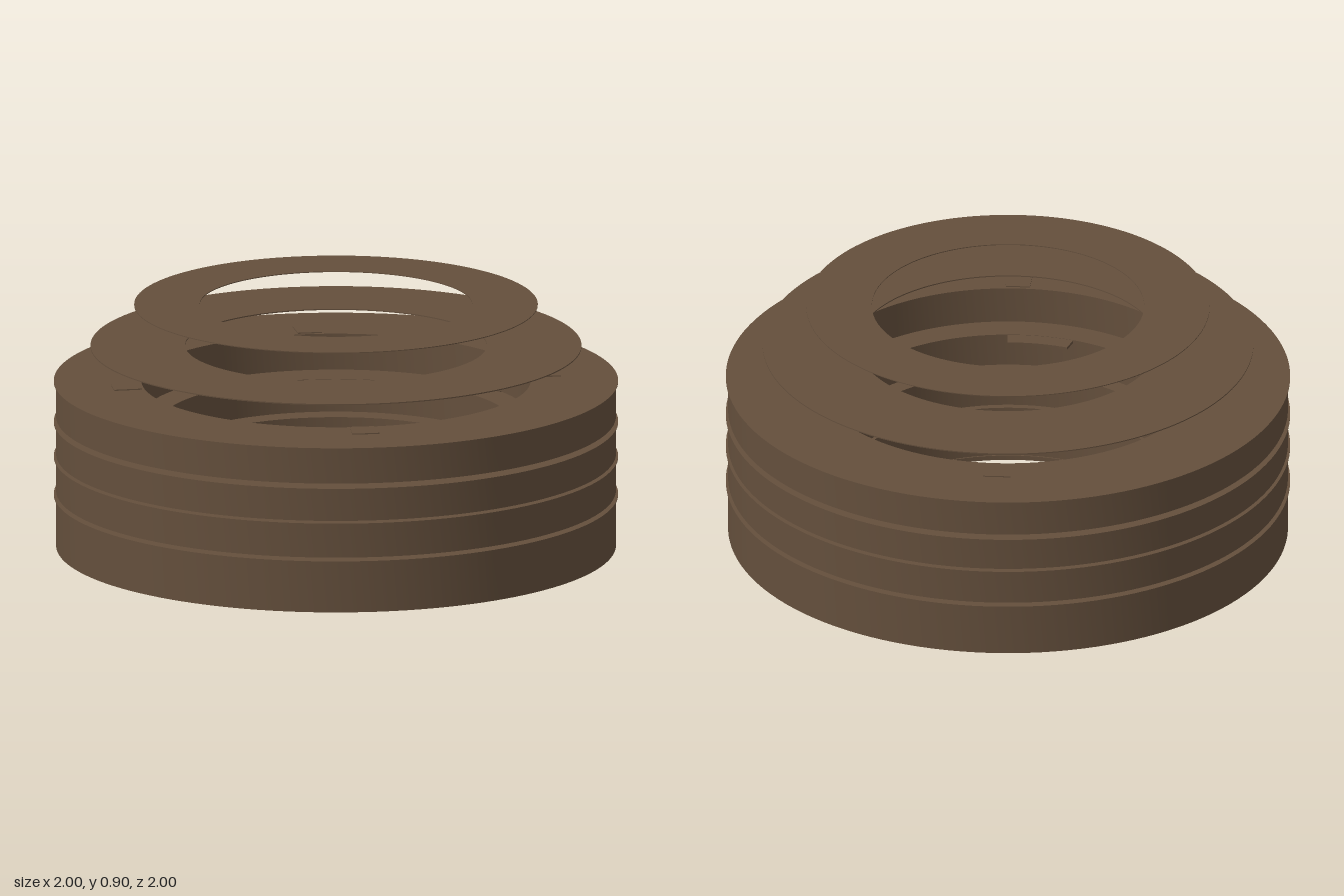
import * as THREE from 'three';
import { toCreasedNormals } from 'three/addons/utils/BufferGeometryUtils.js';

const bronze = new THREE.MeshStandardMaterial({ color: 0x644f3c });
bronze.name = 'dark bronze';

export function createModel() {
  const model = new THREE.Group();
  model.name = 'ringStack';

  const add = (name, geometry) => {
    const mesh = new THREE.Mesh(geometry, bronze);
    mesh.name = name;
    model.add(mesh);
    return mesh;
  };

  // Solid ring with a rectangular section
  const ring = (name, inner, outer, y0, y1) => {
    const section = [[inner, y0], [outer, y0], [outer, y1], [inner, y1], [inner, y0]];
    const lathe = new THREE.LatheGeometry(section.map(([r, y]) => new THREE.Vector2(r, y)), 128);
    return add(name, toCreasedNormals(lathe, 0.6));
  };

  // Flat plate raised from a shape whose +y points to the back
  const plate = (name, shape, y, height) => {
    const g = new THREE.ExtrudeGeometry(shape, { depth: height, bevelEnabled: false, curveSegments: 24 });
    g.rotateX(-Math.PI / 2);
    g.translate(0, y, 0);
    return add(name, g);
  };

  // Arc-shaped block, angles in degrees from +x
  const tab = (name, r0, r1, middle, width, y, height) => {
    const a = THREE.MathUtils.degToRad(middle - width / 2);
    const b = THREE.MathUtils.degToRad(middle + width / 2);
    const shape = new THREE.Shape();
    shape.absarc(0, 0, r1, a, b, false);
    shape.absarc(0, 0, r0, b, a, true);
    shape.closePath();
    return plate(name, shape, y, height);
  };

  // Four stacked bands, each with a slightly wider thin cap
  const bands = [[0.57, 0.02, 0.207], [0.57, 0.22, 0.345], [0.62, 0.354, 0.472], [0.69, 0.49, 0.62]];
  bands.forEach(([inner, y0, y1], i) => {
    ring(`band${i + 1}`, inner, 0.992, y0, y1);
    ring(`bandCap${i + 1}`, inner, 1, y1 - 0.002, y1 + 0.001);
  });

  // Floating upper rings and the base ring
  ring('topRing', 0.483, 0.715, 0.897, 0.9);
  ring('upperRing', 0.535, 0.87, 0.746, 0.75);
  ring('baseRing', 0.565, 0.77, 0.004, 0.021);

  // Spacer tabs bridging the gaps between bands
  const gaps = [[0.206, 0.015], [0.344, 0.011], [0.471, 0.02]];
  gaps.forEach(([y, height], i) => {
    for (let k = 0; k < 4; k++) {
      tab(`wideSpacer${i + 1}`, 0.76, 0.84, 45 + k * 90, 13, y, height);
      tab(`narrowSpacer${i + 1}`, 0.72, 0.8, 68 + k * 90, 3, y, height);
    }
  });

  // Inward teeth on the upper bands
  for (let k = 0; k < 4; k++) {
    tab('innerTooth', 0.56, 0.64, 90 * k + 30, 22, 0.462, 0.01);
    tab('topLug', 0.7, 0.8, 90 * k + 38, 7, 0.618, 0.007);
  }

  // Toothed claw at the back of the base
  const claw = new THREE.Shape();
  const span = Math.PI / 4.6;
  claw.absarc(0, 0, 0.6, Math.PI / 2 - span, Math.PI / 2 + span, false);
  claw.lineTo(-0.30, 0.38);
  claw.lineTo(-0.28, 0.35);
  claw.quadraticCurveTo(-0.23, 0.39, -0.165, 0.415);
  claw.lineTo(-0.14, 0.355);
  claw.quadraticCurveTo(0, 0.408, 0.14, 0.355);
  claw.lineTo(0.165, 0.415);
  claw.quadraticCurveTo(0.23, 0.39, 0.28, 0.35);
  claw.lineTo(0.30, 0.38);
  claw.closePath();
  plate('claw', claw, 0.022, 0.015);

  // Central hexagon with its points to the sides
  const hexagon = new THREE.CylinderGeometry(0.25, 0.25, 0.02, 6);
  hexagon.rotateY(Math.PI / 2);
  hexagon.translate(0, 0.03, 0);
  add('hexagon', toCreasedNormals(hexagon, 0.5));

  // Sagging arm from the hexagon to the front of the base
  const arm = new THREE.BoxGeometry(0.1, 0.01, 0.42, 1, 1, 12);
  const p = arm.attributes.position;
  for (let i = 0; i < p.count; i++) {
    const t = p.getZ(i) / 0.42 + 0.5;
    p.setXYZ(i, p.getX(i), p.getY(i) + 0.03 - 0.025 * Math.sin(Math.PI * t), p.getZ(i) + 0.4);
  }
  arm.computeVertexNormals();
  add('arm', arm);

  return model;
}
